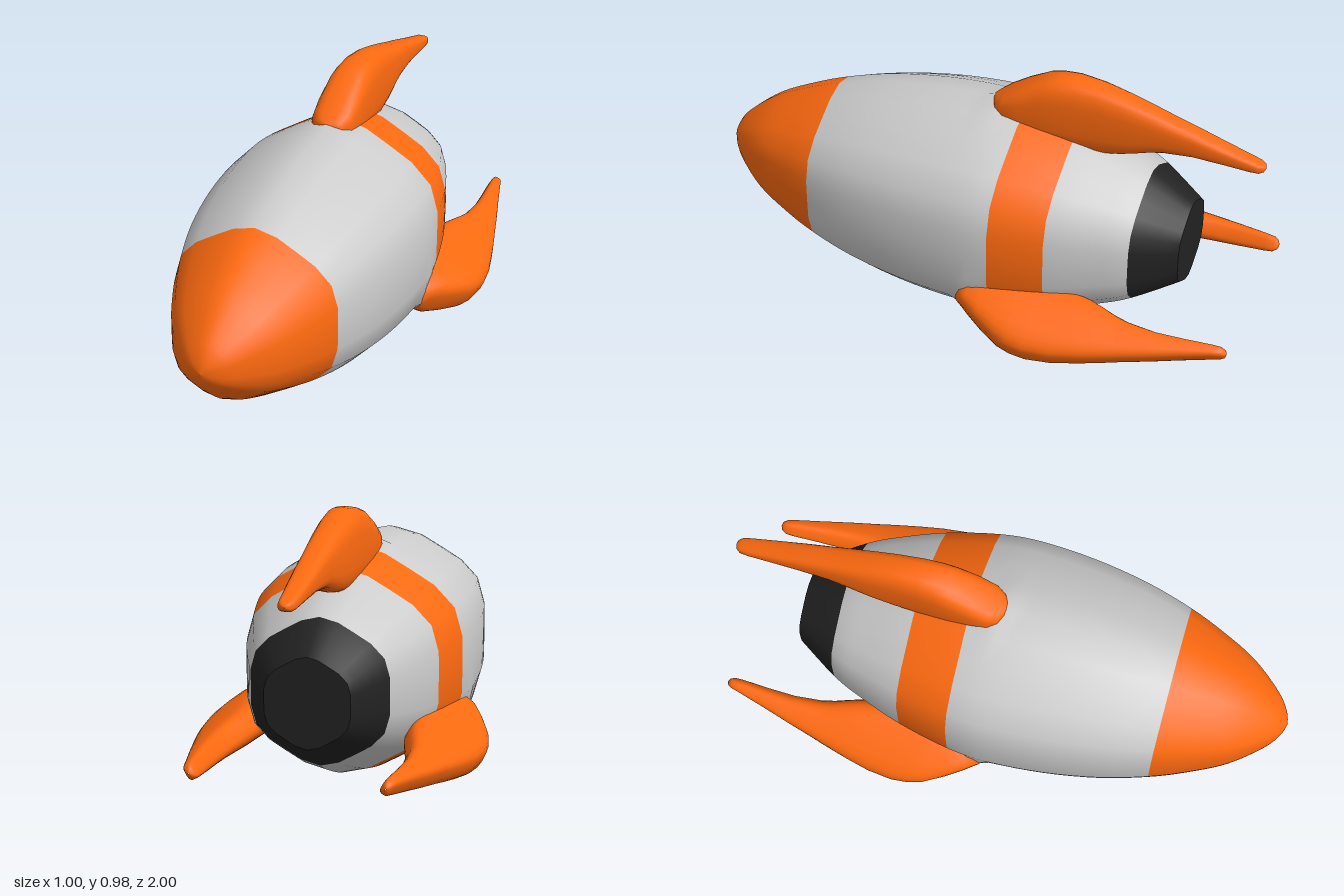
import * as THREE from 'three';

const CENTER_Y = 0.415;
const material = (color) => new THREE.MeshStandardMaterial({ color });

// Skin a series of closed rings (points run from +y towards +x, rings run towards -z)
function loft(rings) {
  const n = rings[0].length;
  const index = [];
  for (let i = 0; i < rings.length - 1; i++) {
    for (let j = 0; j < n; j++) {
      const a = i * n + j, b = i * n + (j + 1) % n;
      index.push(a, b, a + n, b, b + n, a + n);
    }
  }
  const geometry = new THREE.BufferGeometry();
  geometry.setAttribute('position', new THREE.Float32BufferAttribute(rings.flat(2), 3));
  geometry.setIndex(index);
  geometry.computeVertexNormals();
  return geometry;
}

// Cut a run of rings out of a loft, keeping its smooth normals across the cut
function slice(geometry, n, first, last) {
  const part = new THREE.BufferGeometry();
  for (const name of ['position', 'normal']) {
    const array = geometry.getAttribute(name).array.slice(first * n * 3, (last + 1) * n * 3);
    part.setAttribute(name, new THREE.BufferAttribute(array, 3));
  }
  const index = Array.from(geometry.index.array.slice(first * n * 6, last * n * 6));
  part.setIndex(index.map((v) => v - first * n));
  return part;
}

// Soft hexagonal hull section with a slight swelling where the fins begin
const HULL_SIDES = 24;
function hullRing(z, r) {
  const ring = [];
  for (let j = 0; j < HULL_SIDES; j++) {
    const a = (j / HULL_SIDES) * Math.PI * 2;
    const swell = j % 8 === 0 ? 0.018 * Math.exp(-(((z + 0.055) / 0.035) ** 2)) : 0;
    const radius = r * (0.97 + 0.03 * Math.cos(6 * a)) + swell;
    ring.push([Math.sin(a) * radius, Math.cos(a) * radius, z]);
  }
  return ring;
}

// Rounded-box fin section between two heights
function finRing([z, top, bottom, w]) {
  const ring = [];
  const soft = (v) => Math.sign(v) * Math.abs(v) ** (2 / 3);
  for (let j = 0; j < 24; j++) {
    const a = (j / 24) * Math.PI * 2;
    ring.push([soft(Math.sin(a)) * w, (top + bottom) / 2 + soft(Math.cos(a)) * (top - bottom) / 2, z]);
  }
  return ring;
}

export function createModel() {
  const model = new THREE.Group();
  model.name = 'rocket';
  const orange = material(0xff6a10), grey = material(0xcccccc), black = material(0x222222);

  const add = (name, geometry, mat) => {
    const mesh = new THREE.Mesh(geometry, mat);
    mesh.name = name;
    mesh.position.y = CENTER_Y;
    model.add(mesh);
    return mesh;
  };

  // Hull profile: z and corner radius, nose to tail
  const profile = [
    [1, 0], [0.985, 0.045], [0.94, 0.105], [0.83, 0.195], [0.7, 0.262], [0.57, 0.315],
    [0.4, 0.365], [0.2, 0.4], [0, 0.414], [-0.15, 0.403], [-0.34, 0.36], [-0.5, 0.303],
    [-0.61, 0.253], [-0.76, 0.155],
  ];
  const STEPS = 4;
  const count = (profile.length - 1) * STEPS;
  const curve = new THREE.SplineCurve(profile.map(([z, r]) => new THREE.Vector2(z, r)));
  const hull = loft(curve.getPoints(count).map((p) => hullRing(p.x, Math.max(p.y, 0))));

  // Coloured hull sections, by profile point
  const sections = [
    ['noseCone', 0, 5, orange],
    ['frontHull', 5, 9, grey],
    ['hullBand', 9, 10, orange],
    ['rearHull', 10, 12, grey],
    ['engineNozzle', 12, 13, black],
  ];
  for (const [name, from, to, mat] of sections) {
    add(name, slice(hull, HULL_SIDES, from * STEPS, to * STEPS), mat);
  }
  add('nozzleCap', loft([hullRing(-0.76, 0.155), hullRing(-0.76, 0)]), black);

  // Swept fins: z, outer height, inner height, half thickness
  const fin = loft([
    [-0.03, 0.425, 0.34, 0.002], [-0.033, 0.428, 0.34, 0.03], [-0.048, 0.437, 0.335, 0.056],
    [-0.08, 0.46, 0.33, 0.075], [-0.14, 0.5, 0.315, 0.08], [-0.22, 0.545, 0.3, 0.079],
    [-0.27, 0.559, 0.297, 0.077], [-0.33, 0.565, 0.295, 0.073], [-0.42, 0.555, 0.295, 0.067],
    [-0.5, 0.535, 0.31, 0.062], [-0.55, 0.521, 0.325, 0.058], [-0.6, 0.506, 0.342, 0.054],
    [-0.65, 0.49, 0.354, 0.05], [-0.75, 0.46, 0.363, 0.044], [-0.85, 0.428, 0.36, 0.038],
    [-0.95, 0.398, 0.354, 0.031], [-0.98, 0.39, 0.354, 0.027], [-0.995, 0.383, 0.36, 0.016],
    [-1, 0.373, 0.37, 0.002],
  ].map(finRing));
  ['topFin', 'rightFin', 'leftFin'].forEach((name, k) => {
    add(name, fin, orange).rotation.z = (k * Math.PI * 2) / 3;
  });

  return model;
}
